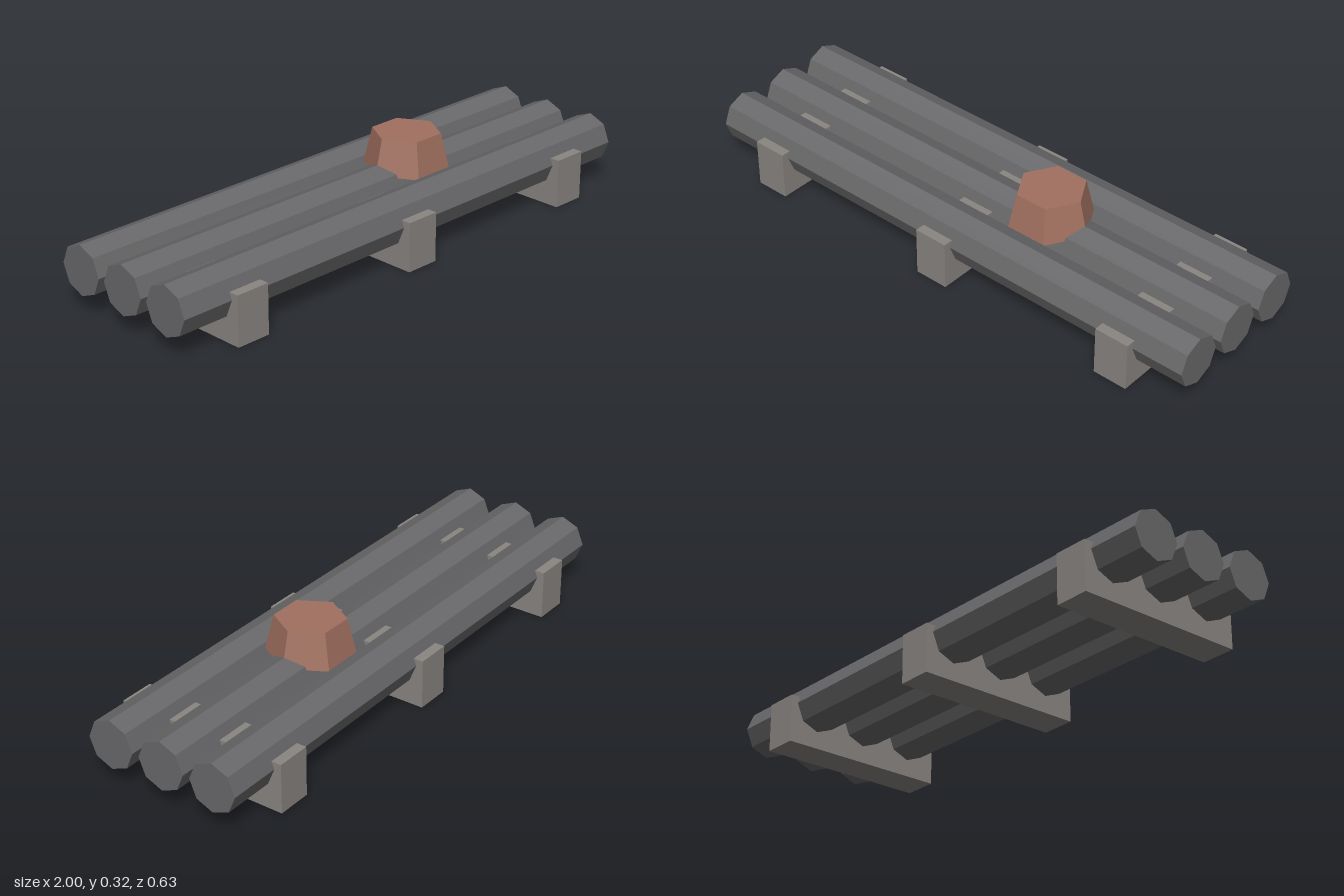
import * as THREE from 'three';

function material(name, color) {
  const m = new THREE.MeshStandardMaterial({ color, flatShading: true });
  m.name = name;
  return m;
}

export function createModel() {
  const pipeGrey = material('pipe grey', 0x68686a);
  const supportGrey = material('support grey', 0x8a8581);
  const rust = material('rust', 0xa0705f);

  const model = new THREE.Group();
  model.name = 'pipeRack';

  const add = (name, geometry, mat, x, y, z) => {
    const mesh = new THREE.Mesh(geometry, mat);
    mesh.name = name;
    mesh.position.set(x, y, z);
    model.add(mesh);
  };

  // Three parallel eight-sided pipes, each with a ridge along the top
  const pipe = new THREE.CylinderGeometry(0.0875, 0.0875, 2, 8).rotateZ(Math.PI / 2);
  for (const z of [-0.2, 0, 0.2]) add('pipe', pipe, pipeGrey, 0, 0.15, z);

  // Cross blocks cradling the pipes
  const support = new THREE.BoxGeometry(0.125, 0.175, 0.626);
  for (const x of [-0.75, 0, 0.75]) add('support', support, supportGrey, x, 0.0875, 0);

  // Tapered six-sided valve on the middle pipe, corners pointing along it
  const valve = new THREE.CylinderGeometry(0.12, 0.15, 0.125, 6).rotateY(Math.PI / 2);
  add('valve', valve, rust, 0.25, 0.2625, 0);

  return model;
}
